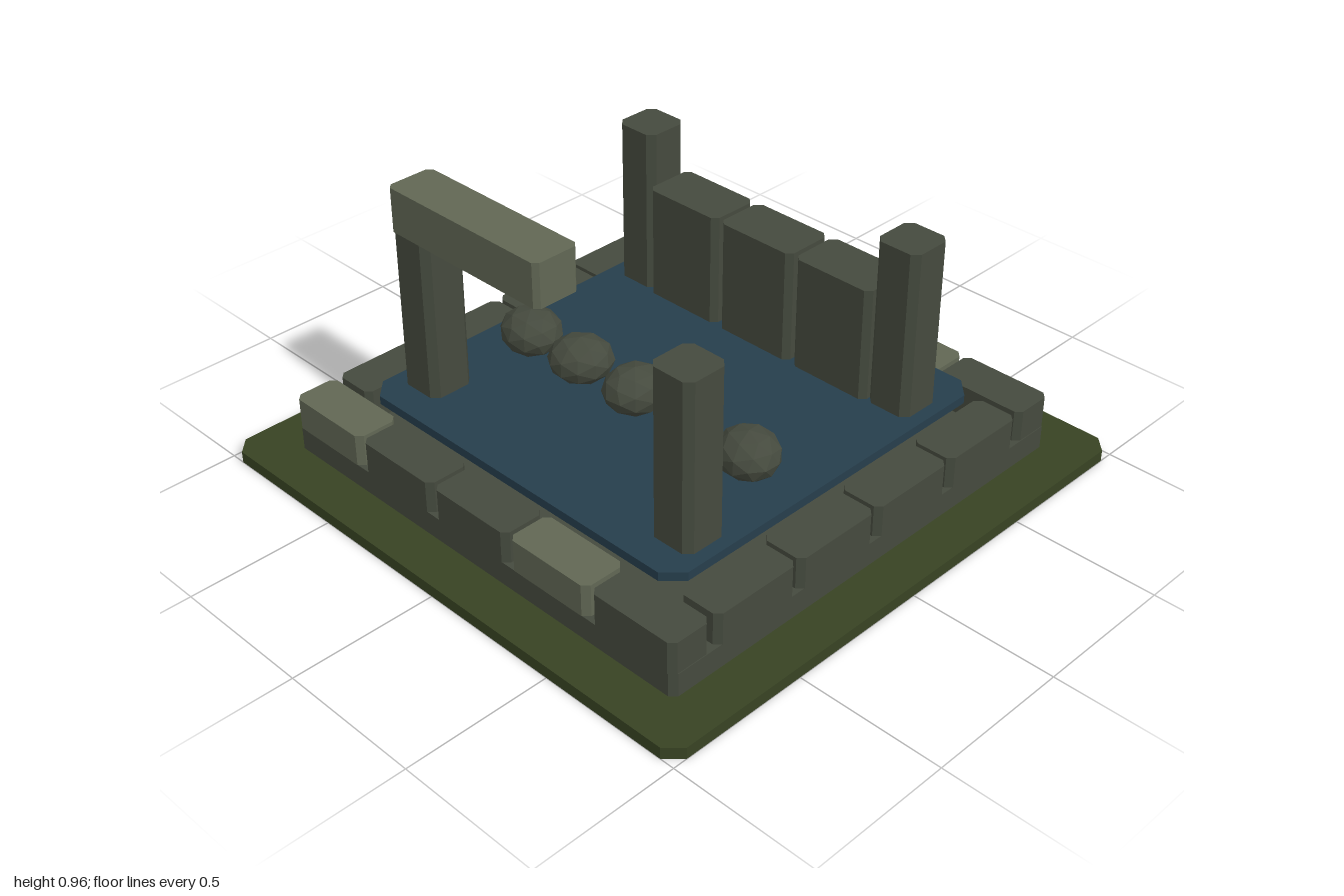
import * as THREE from 'three';

const material = (name, color) => {
  const m = new THREE.MeshStandardMaterial({ color });
  m.name = name;
  return m;
};

export function createModel() {
  const model = new THREE.Group();
  model.name = 'ruinedPool';

  const moss = material('moss', 0x384323);
  const stone = material('stone', 0x454a3e);
  const paleStone = material('paleStone', 0x616754);
  const water = material('water', 0x263e4c);

  // Upright block with bevelled vertical corners, standing from y0 to y1
  function block(name, mat, x, z, w, d, y0, y1, c = 0.02) {
    const a = w / 2, b = d / 2;
    const outline = [
      [a, -b + c], [a, b - c], [a - c, b], [-a + c, b],
      [-a, b - c], [-a, -b + c], [-a + c, -b], [a - c, -b],
    ].map(([px, py]) => new THREE.Vector2(px, py));
    const geo = new THREE.ExtrudeGeometry(new THREE.Shape(outline), { depth: y1 - y0, bevelEnabled: false });
    geo.rotateX(-Math.PI / 2);
    const mesh = new THREE.Mesh(geo, mat);
    mesh.name = name;
    mesh.position.set(x, y0, z);
    model.add(mesh);
    return mesh;
  }

  // Ground, foundation and water sheet
  block('ground', moss, 0, 0, 2, 2, 0, 0.04, 0.05);
  block('foundation', stone, 0, 0, 1.69, 1.69, 0.04, 0.12);
  block('waterSheet', water, 0, 0, 1.36, 1.36, 0.23, 0.26, 0.06);

  // Rim stones: five along the front and back, four along each side
  for (const side of [-1, 1]) {
    for (let i = 0; i < 5; i++) {
      block('rimStone', i % 3 === 0 ? paleStone : stone, (i - 2) * 0.34, side * 0.77, 0.325, 0.152, 0.12, 0.23);
    }
    for (let i = 0; i < 4; i++) {
      block('sideRimStone', stone, side * 0.77, (i - 1.5) * 0.34, 0.152, 0.325, 0.12, 0.23);
    }
  }

  // Four pillars and the broken lintel on the front right one
  for (const side of [-1, 1]) {
    block('frontPillar', stone, side * 0.555, 0.495, 0.16, 0.16, 0.26, 0.84, 0.024);
    block('backPillar', stone, side * 0.555, -0.46, 0.16, 0.16, 0.26, 0.84, 0.024);
  }
  block('brokenLintel', paleStone, -0.3, 0.493, 0.665, 0.168, 0.812, 0.963, 0.016);

  // Back wall slabs
  for (let i = -1; i <= 1; i++) {
    block('wallSlab', stone, i * 0.323, -0.46, 0.305, 0.184, 0.26, 0.655);
  }

  // Row of faceted stepping rocks
  const rockMat = stone.clone();
  rockMat.name = 'facetedStone';
  rockMat.flatShading = true;
  const rockGeo = new THREE.IcosahedronGeometry(1, 1);
  [-0.48, -0.245, 0, 0.23, 0.48].forEach((x, i) => {
    const rock = new THREE.Mesh(rockGeo, rockMat);
    rock.name = 'steppingRock';
    rock.scale.set(0.109, 0.08, 0.1);
    rock.rotation.y = i * 0.7;
    rock.position.set(x, 0.336, 0.162);
    model.add(rock);
  });

  return model;
}
